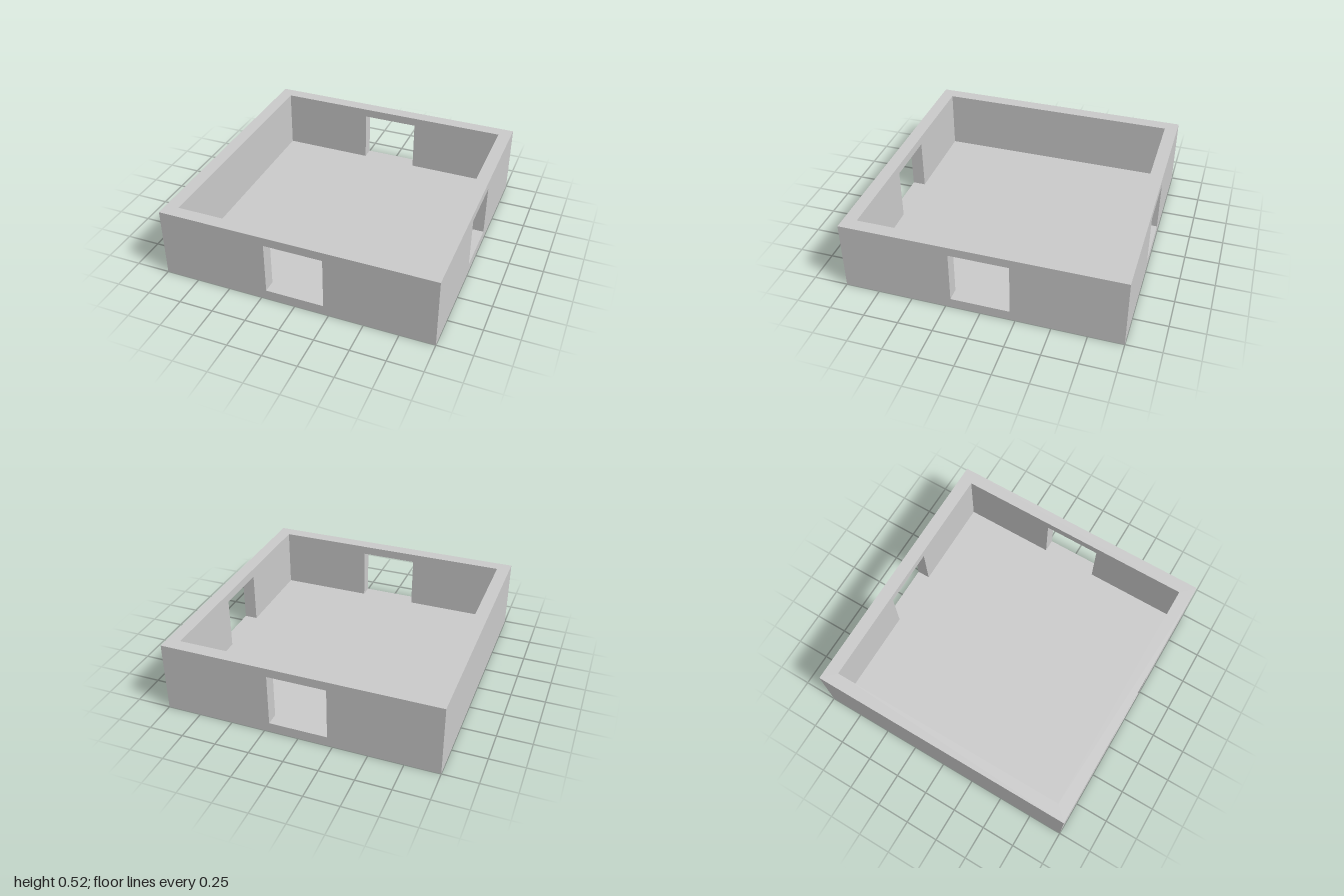
import * as THREE from 'three';

const HEIGHT = 0.521, FLOOR = 0.072, INNER = 0.904;
const DOOR_HALF = 0.212, DOOR_TOP = 0.457;

// Wall panel facing +z with mitred ends, optionally cut by a doorway
function wallGeometry(hasDoor) {
  const outline = [[-1, FLOOR]];
  if (hasDoor) {
    outline.push([-DOOR_HALF, FLOOR], [-DOOR_HALF, DOOR_TOP], [DOOR_HALF, DOOR_TOP], [DOOR_HALF, FLOOR]);
  }
  outline.push([1, FLOOR], [1, HEIGHT], [-1, HEIGHT]);
  const shape = new THREE.Shape(outline.map(([x, y]) => new THREE.Vector2(x, y)));
  const geometry = new THREE.ExtrudeGeometry(shape, { depth: 1 - INNER, bevelEnabled: false });
  geometry.translate(0, 0, INNER);

  // Pull the inner corners in so neighbouring walls meet at 45 degrees
  const p = geometry.attributes.position;
  for (let i = 0; i < p.count; i++) {
    if (Math.abs(p.getX(i)) > 0.99 && p.getZ(i) < INNER + 0.01) {
      p.setX(i, Math.sign(p.getX(i)) * INNER);
    }
  }
  geometry.computeVertexNormals();
  return geometry;
}

export function createModel() {
  const model = new THREE.Group();
  model.name = 'room';
  const material = new THREE.MeshStandardMaterial({ color: 0xcccccc, flatShading: true });

  // Floor slab, level with the doorway sills
  const floor = new THREE.Mesh(new THREE.BoxGeometry(2, FLOOR, 2), material);
  floor.name = 'floor';
  floor.position.y = FLOOR / 2;
  model.add(floor);

  // Four walls: three with doorways, the -x one solid
  const walls = [['frontWall', true], ['leftWall', true], ['backWall', true], ['rightWall', false]];
  walls.forEach(([name, hasDoor], i) => {
    const wall = new THREE.Mesh(wallGeometry(hasDoor), material);
    wall.name = name;
    wall.rotation.y = i * Math.PI / 2;
    model.add(wall);
  });

  return model;
}
